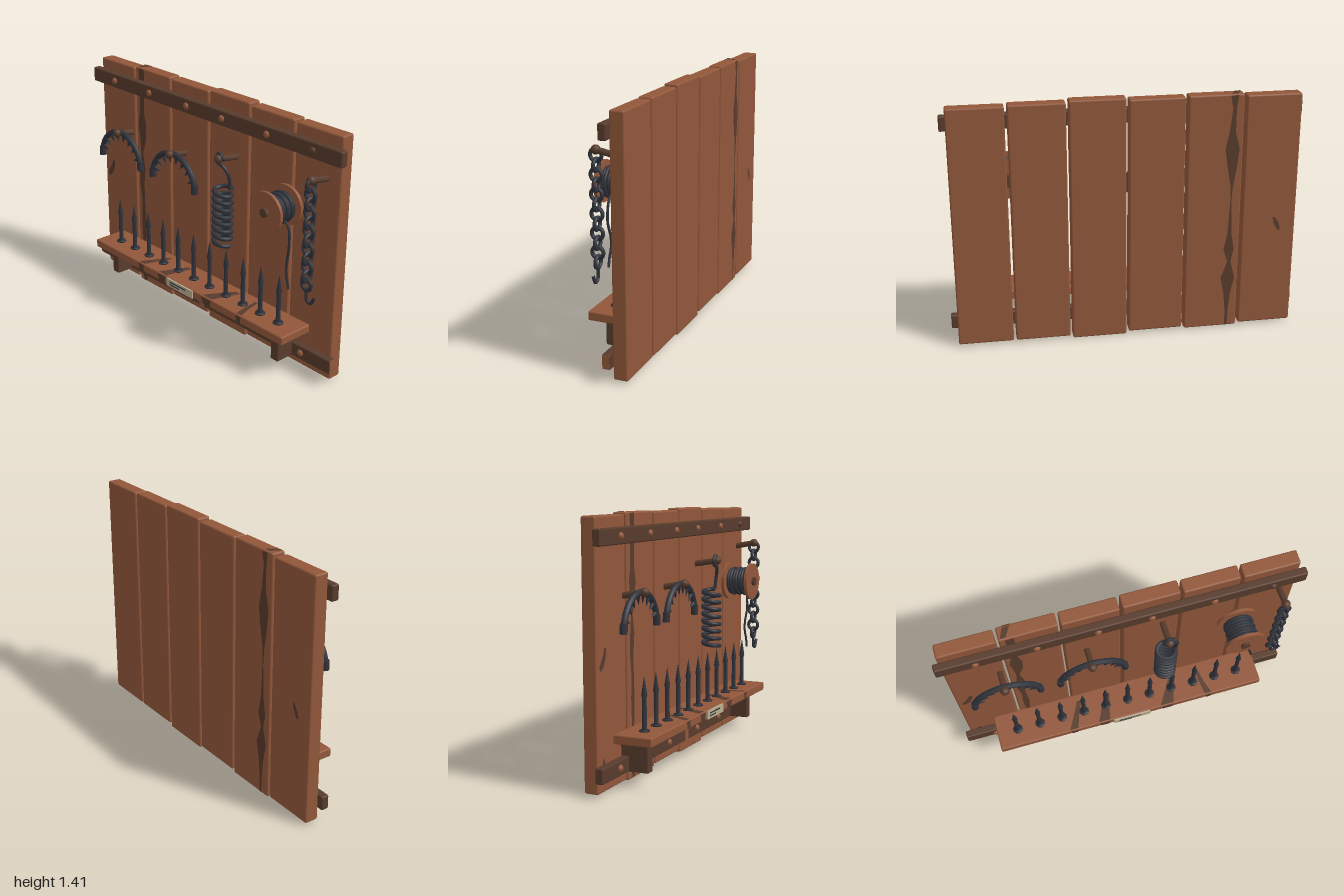
import * as THREE from 'three';
import { RoundedBoxGeometry } from 'three/addons/geometries/RoundedBoxGeometry.js';

const mat = (name, color, side = THREE.FrontSide) => {
  const m = new THREE.MeshStandardMaterial({ color, side });
  m.name = name;
  return m;
};
const V = (x, y, z) => new THREE.Vector3(x, y, z);

export function createModel() {
  const root = new THREE.Group();
  root.name = 'toolRack';
  const wood = mat('reddish wood', 0x91573a, THREE.DoubleSide);
  const dark = mat('dark wood', 0x573b2c, THREE.DoubleSide);
  const metal = mat('dark iron', 0x30333b);
  const cream = mat('cream plate', 0xb9ad90);

  const add = (name, geo, m, x = 0, y = 0, z = 0, parent = root) => {
    const mesh = new THREE.Mesh(geo, m);
    mesh.name = name;
    mesh.position.set(x, y, z);
    parent.add(mesh);
    return mesh;
  };
  const group = (name, x = 0, y = 0, z = 0) => {
    const g = new THREE.Group();
    g.name = name;
    g.position.set(x, y, z);
    root.add(g);
    return g;
  };
  // rounded box given by its extents
  const box = (name, m, x0, x1, y0, y1, z0, z1, r = 0.008) =>
    add(name, new RoundedBoxGeometry(x1 - x0, y1 - y0, z1 - z0, 2, r), m,
      (x0 + x1) / 2, (y0 + y1) / 2, (z0 + z1) / 2);
  // round bar between two points
  const rod = (name, a, b, r0, r1, m, parent = root, sides = 10) => {
    const mesh = add(name, new THREE.CylinderGeometry(r1, r0, a.distanceTo(b), sides), m, 0, 0, 0, parent);
    mesh.position.copy(a).lerp(b, 0.5);
    mesh.quaternion.setFromUnitVectors(V(0, 1, 0), b.clone().sub(a).normalize());
    return mesh;
  };
  const wire = (name, pts, r, parent = root, n = 32) =>
    add(name, new THREE.TubeGeometry(new THREE.CatmullRomCurve3(pts), n, r, 8), metal, 0, 0, 0, parent);
  // painted stain: rows of [y, left, right]
  const stain = (name, rows, z, parent = root) => {
    const pts = [...rows.map(([y, l]) => new THREE.Vector2(l, y)),
      ...rows.slice().reverse().map(([y, , r]) => new THREE.Vector2(r, y))];
    return add(name, new THREE.ShapeGeometry(new THREE.Shape(pts)), dark, 0, 0, z, parent);
  };

  // Back board
  const ends = [[0.02, 1.4], [0.01, 1.41], [0.02, 1.405], [0.005, 1.415], [0.02, 1.405], [0.02, 1.4]];
  ends.forEach(([y0, y1], i) => {
    const x = -0.97 + i * 0.325;
    box('plank', wood, x, x + 0.31, y0, y1, -0.155, -0.075, 0.01);
  });

  // Stains on the board
  stain('frontStreak', [[1.405, -0.612, -0.565], [1.25, -0.608, -0.567], [1.14, -0.61, -0.57],
    [1.06, -0.625, -0.553], [0.97, -0.612, -0.56], [0.88, -0.605, -0.588], [0.78, -0.617, -0.57],
    [0.68, -0.622, -0.582], [0.56, -0.605, -0.58], [0.44, -0.612, -0.573], [0.3, -0.605, -0.58],
    [0.2, -0.618, -0.56], [0.1, -0.615, -0.568], [0.015, -0.604, -0.578]], -0.073);
  stain('backStreak', [[1.405, -0.61, -0.565], [1.33, -0.6, -0.58], [1.2, -0.6, -0.565],
    [1.1, -0.625, -0.545], [1.0, -0.615, -0.56], [0.88, -0.596, -0.582], [0.79, -0.59, -0.584],
    [0.6, -0.598, -0.575], [0.5, -0.615, -0.555], [0.42, -0.6, -0.58], [0.32, -0.625, -0.545],
    [0.22, -0.605, -0.565], [0.12, -0.595, -0.575], [0.015, -0.592, -0.578]], -0.157);
  stain('frontBlotch', [[0.75, -0.895, -0.875], [0.72, -0.905, -0.875], [0.69, -0.925, -0.885],
    [0.66, -0.945, -0.9], [0.64, -0.94, -0.925]], -0.073);
  stain('smallBlotch', [[0.19, -0.915, -0.9], [0.165, -0.925, -0.9]], -0.073);
  stain('backBlotch', [[0.68, -0.85, -0.835], [0.64, -0.875, -0.845], [0.6, -0.885, -0.868]], -0.157);
  stain('topStreak', [[0.085, -0.635, -0.605], [0.145, -0.61, -0.57]], 1.412).rotation.x = -Math.PI / 2;
  root.children.at(-1).position.set(0, 1.412, 0);
  root.children.at(-1).rotation.x = Math.PI / 2;
  root.children.at(-1).scale.y = -1;

  // Cross battens with domed rivets
  const battens = [
    [1.255, 1.34, [-0.79, -0.465, -0.14, 0.15, 0.49, 0.81]],
    [0.085, 0.167, [-0.82, -0.52, -0.24, 0.14, 0.465, 0.79]],
  ];
  battens.forEach(([y0, y1, xs], row) => {
    box('batten', dark, -1, 1, y0, y1, -0.075, -0.03);
    xs.forEach((x, i) => {
      const m = row === 0 && i === 5 ? dark : wood;
      add('rivet', new THREE.SphereGeometry(0.02, 12, 8), m, x, (y0 + y1) / 2, -0.03).scale.z = 0.75;
    });
  });
  add('battenPatch', new THREE.BoxGeometry(0.04, 0.074, 0.004), wood, -0.008, 0.126, -0.029);
  add('battenEnd', new THREE.BoxGeometry(0.004, 0.074, 0.038), wood, 0.999, 0.126, -0.052);

  // Shelf with brackets, worn patches and a plate
  box('shelf', wood, -0.81, 0.81, 0.245, 0.295, -0.075, 0.142);
  for (const s of [-1, 1]) box('bracket', dark, s * 0.7 - 0.027, s * 0.7 + 0.027, 0.085, 0.247, -0.075, 0.08, 0.005);
  for (const [x, w, lean] of [[-0.36, 0.05, 0.06], [-0.17, 0.07, 0.04], [0.22, 0.08, 0.06], [0.48, 0.04, -0.04]]) {
    const top = stain('shelfStain', [[-0.135, x - w / 2, x + w / 2], [-0.06, x - w * 0.3 + lean * 0.5, x + w * 0.4 + lean * 0.5],
      [0.03, x + lean, x + lean + w * 0.5]], 0);
    top.rotation.x = -Math.PI / 2;
    top.position.y = 0.2965;
    stain('shelfEdgeStain', [[0.25, x - w * 0.3, x + w * 0.4], [0.29, x - w / 2, x + w / 2]], 0.1435);
  }
  add('plate', new THREE.BoxGeometry(0.225, 0.048, 0.009), cream, -0.002, 0.27, 0.1465);
  add('plateLine', new THREE.BoxGeometry(0.14, 0.007, 0.002), metal, -0.015, 0.278, 0.1515);
  add('plateLine', new THREE.BoxGeometry(0.08, 0.007, 0.002), metal, -0.045, 0.262, 0.1515);

  // Row of spikes
  const spikeProfile = [[0, 0], [0.03, 0], [0.028, 0.007], [0.013, 0.011], [0.012, 0.175],
    [0.016, 0.19], [0.009, 0.235], [0, 0.29]].map(([r, y]) => new THREE.Vector2(r, y));
  const spikeGeo = new THREE.LatheGeometry(spikeProfile, 10);
  for (let i = 0; i < 11; i++) add('spike', spikeGeo, metal, -0.684 + i * 0.1367, 0.295, 0.04);

  // Pegs
  const peg = (x, y, z) => {
    rod('peg', V(x, y - 0.022, -0.08), V(x, y, z), 0.017, 0.017, dark);
    add('pegKnob', new THREE.SphereGeometry(0.025, 12, 8), dark, x, y, z);
  };
  peg(-0.685, 1.012, 0.045);
  peg(-0.2, 1.012, 0.045);
  peg(0.225, 1.11, 0.06);
  peg(0.875, 1.178, 0.042);

  // Toothed half-ring jaws
  for (const cx of [-0.682, -0.196]) {
    const jaw = group('toothedJaw', cx, 0.825, 0.022);
    add('jawArc', new THREE.TorusGeometry(0.186, 0.017, 8, 32, Math.PI), metal, 0, 0, 0, jaw);
    for (const s of [-1, 1]) rod('jawEnd', V(s * 0.186, -0.004, 0), V(s * 0.183, 0.05, 0), 0.02, 0.02, metal, jaw);
    for (let i = 0; i < 8; i++) {
      const a = Math.PI * (0.11 + i * 0.78 / 7), c = Math.cos(a), s = Math.sin(a);
      rod('jawTooth', V(c * 0.178, s * 0.178, 0), V(c * 0.125, s * 0.125, 0), 0.015, 0, metal, jaw, 6);
    }
  }

  // Coil spring with hook
  const spring = group('spring', 0.225, 0, 0.025);
  const coil = [];
  const turns = 8;
  for (let i = 0; i <= turns * 12; i++) {
    const a = i / 12 * Math.PI * 2;
    coil.push(V(Math.cos(a) * 0.052, 0.6 + 0.34 * i / (turns * 12), Math.sin(a) * 0.047));
  }
  wire('springCoil', coil, 0.0125, spring, 260);
  wire('springHook', [V(0.052, 0.94, 0), V(0.056, 1.0, 0.005), V(0.045, 1.045, 0.015), V(0.015, 1.075, 0.025),
    V(-0.02, 1.085, 0.025), V(-0.027, 1.11, 0.025), V(0, 1.138, 0.025), V(0.026, 1.115, 0.025)], 0.01, spring);
  for (const [x, y, z] of [[0.052, 0.6, 0], [0.026, 1.115, 0.025]])
    add('springTip', new THREE.SphereGeometry(0.0125, 8, 6), metal, x, y, z, spring);

  // Wire spool
  const spool = group('spool', 0.645, 0.955, 0);
  const disc = (name, r, z0, z1, m, sides) =>
    rod(name, V(0, 0, z0), V(0, 0, z1), r, r, m, spool, sides);
  disc('spoolAxle', 0.035, -0.08, -0.03, dark, 12);
  disc('spoolFlange', 0.111, -0.042, -0.024, wood, 32);
  disc('spoolFlange', 0.111, 0.106, 0.124, wood, 32);
  disc('spoolCore', 0.07, -0.03, 0.11, metal, 24);
  disc('spoolNut', 0.027, 0.12, 0.14, dark, 6);
  for (let i = 0; i < 7; i++)
    add('wireTurn', new THREE.TorusGeometry(0.073 + (i % 2) * 0.006, 0.009, 8, 28), metal, 0, 0, -0.012 + i * 0.0175, spool);
  wire('wireTail', [V(0.705, 0.91, 0.045), V(0.738, 0.88, 0.045), V(0.75, 0.78, 0.048), V(0.733, 0.69, 0.04),
    V(0.729, 0.64, 0.04), V(0.742, 0.58, 0.045), V(0.754, 0.53, 0.045)], 0.007);

  // Chain with end hook
  const chain = group('chain', 0.875, 0, 0.042);
  const link = new THREE.TorusGeometry(0.031, 0.0105, 8, 18);
  for (let i = 0; i < 12; i++)
    add('chainLink', link, metal, 0, 1.152 - i * 0.05, 0, chain).rotation.y = i % 2 ? 0 : Math.PI / 2;
  wire('chainHook', [V(0, 0.575, 0), V(0.002, 0.535, 0), V(0.008, 0.512, 0), V(0.035, 0.505, 0),
    V(0.045, 0.52, 0), V(0.058, 0.55, 0)], 0.009, chain);

  return root;
}
